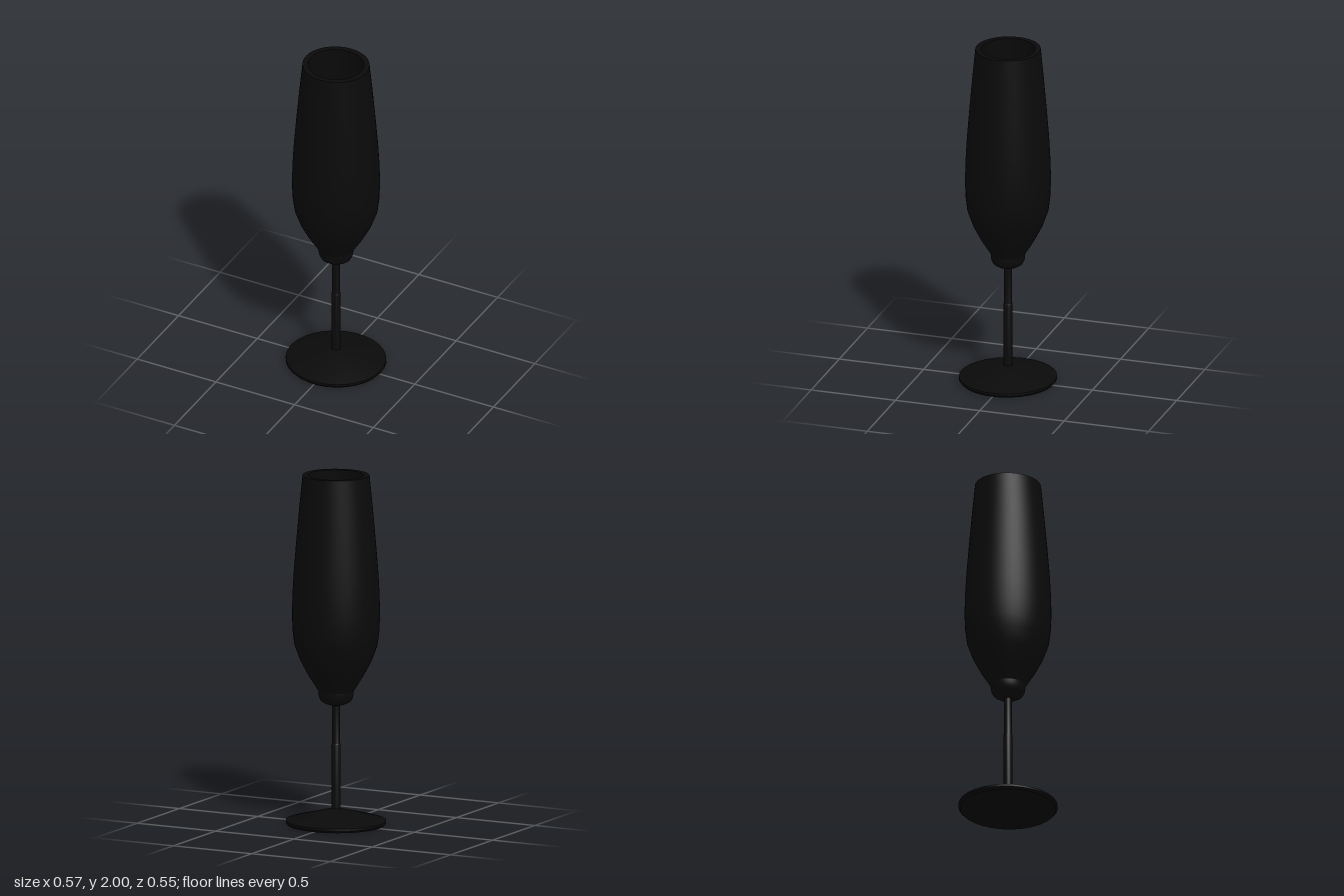
import * as THREE from 'three';
import { toCreasedNormals } from 'three/addons/utils/BufferGeometryUtils.js';

const material = new THREE.MeshStandardMaterial({ color: 0x0a0a0a });

// Turned part from [radius, height] pairs, listed bottom to top on the outside
function turned(name, profile, sides, start = 0) {
  const points = profile.map(([r, y]) => new THREE.Vector2(r, y));
  const geometry = toCreasedNormals(new THREE.LatheGeometry(points, sides, start), 0.55);
  const mesh = new THREE.Mesh(geometry, material);
  mesh.name = name;
  return mesh;
}

export function createModel() {
  const glass = new THREE.Group();
  glass.name = 'fluteGlass';

  // Foot: flat underside, thin edge and shallow cone
  glass.add(turned('foot', [
    [0, 0], [0.275, 0], [0.286, 0.012], [0.285, 0.025], [0.03, 0.092], [0, 0.092],
  ], 30, THREE.MathUtils.degToRad(4)));

  // Stem: slightly thicker in its lower half
  glass.add(turned('stem', [
    [0.027, 0.08], [0.027, 0.46], [0.024, 0.465], [0.024, 0.69],
  ], 20));

  // Rounded collar under the bowl
  glass.add(turned('collar', [
    [0, 0.68], [0.025, 0.682], [0.06, 0.692], [0.085, 0.707],
    [0.096, 0.727], [0.1, 0.75], [0.1, 0.77], [0, 0.77],
  ], 48));

  // Bowl: outer wall up to the flat rim, then inner wall down to the floor
  glass.add(turned('bowl', [
    [0.1, 0.765], [0.155, 0.85], [0.203, 0.94], [0.236, 1.03], [0.246, 1.11],
    [0.25, 1.2], [0.247, 1.32], [0.239, 1.46], [0.226, 1.62], [0.208, 1.82], [0.19, 2],
    [0.158, 2], [0.178, 1.82], [0.196, 1.62], [0.209, 1.46], [0.217, 1.32],
    [0.22, 1.2], [0.216, 1.11], [0.206, 1.04], [0.177, 0.96], [0.135, 0.88],
    [0.09, 0.81], [0, 0.81],
  ], 48));

  // The cross-section is slightly oval
  glass.scale.z = 0.965;
  return glass;
}
